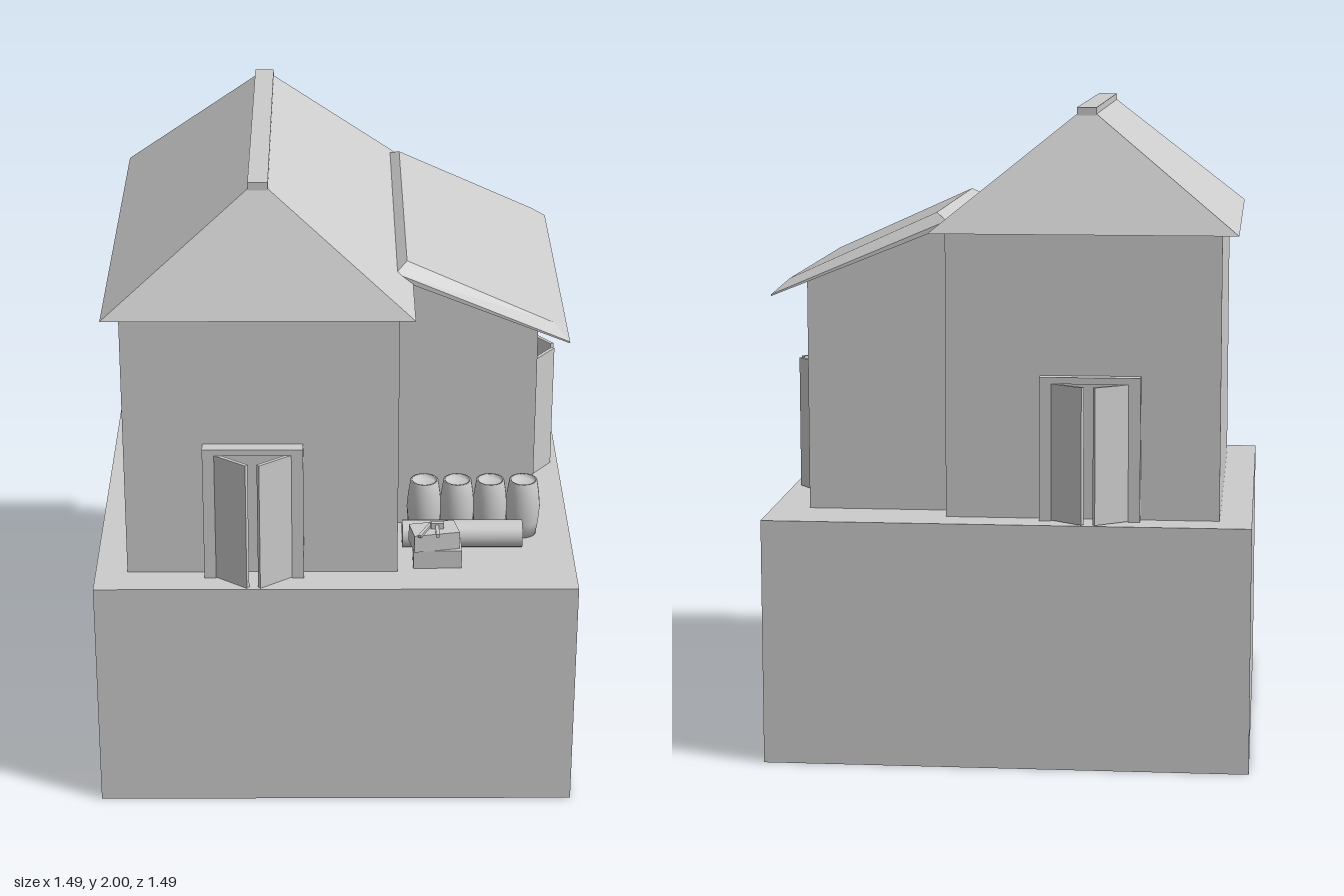
import * as THREE from 'three';

const material = new THREE.MeshStandardMaterial({ color: 0xcccccc, side: THREE.DoubleSide });

function add(parent, name, geometry, x = 0, y = 0, z = 0) {
  const mesh = new THREE.Mesh(geometry, material);
  mesh.name = name;
  mesh.position.set(x, y, z);
  parent.add(mesh);
  return mesh;
}

// Box given by its lower and upper limits on each axis
function block(parent, name, x0, x1, y0, y1, z0, z1) {
  return add(parent, name, new THREE.BoxGeometry(x1 - x0, y1 - y0, z1 - z0),
    (x0 + x1) / 2, (y0 + y1) / 2, (z0 + z1) / 2);
}

// Rectangle in plan whose height may differ between its low-x and high-x sides
function rect(x0, x1, z0, z1, yLeft, yRight = yLeft) {
  return [[x0, yLeft, z0], [x1, yRight, z0], [x1, yRight, z1], [x0, yLeft, z1]];
}

// Closed solid lofted through rectangles, from lowest to highest
function loft(...rings) {
  const index = [0, 1, 2, 0, 2, 3];
  const quad = (a, b, c, d) => index.push(a, b, c, a, c, d);
  for (let r = 0; r < rings.length - 1; r++) {
    const b = r * 4;
    for (let i = 0; i < 4; i++) {
      const j = (i + 1) % 4;
      quad(b + j, b + i, b + i + 4, b + j + 4);
    }
  }
  const t = (rings.length - 1) * 4;
  quad(t, t + 3, t + 2, t + 1);
  const indexed = new THREE.BufferGeometry();
  indexed.setAttribute('position', new THREE.Float32BufferAttribute(rings.flat(2), 3));
  indexed.setIndex(index);
  const geometry = indexed.toNonIndexed();
  geometry.computeVertexNormals();
  return geometry;
}

// Framed double door, local origin at the foot of the wall, facing +z
function createDoor(name, depth) {
  const door = new THREE.Group();
  door.name = name;
  block(door, 'doorLintel', -0.153, 0.153, 0.42, 0.44, 0, depth);
  for (const s of [-1, 1]) {
    add(door, 'doorPost', new THREE.BoxGeometry(0.036, 0.42, depth), s * 0.135, 0.21, depth / 2);
    // Leaf hinged at the post and ajar
    const hinge = new THREE.Group();
    hinge.name = 'doorLeaf';
    hinge.position.set(s * 0.115, 0, depth - 0.008);
    hinge.rotation.y = s * 0.64;
    add(hinge, 'leafPanel', new THREE.BoxGeometry(0.122, 0.418, 0.012), -s * 0.061, 0.211, 0);
    door.add(hinge);
  }
  return door;
}

export function createModel() {
  const model = new THREE.Group();
  model.name = 'house';
  const ground = 0.758;

  // Hollow plinth, open underneath
  const plinth = new THREE.BoxGeometry(1.487, ground, 1.49);
  const faces = Array.from(plinth.index.array);
  faces.splice(18, 6);
  plinth.setIndex(faces);
  plinth.clearGroups();
  add(model, 'plinth', plinth, 0, ground / 2, 0);

  // Main house with hipped roof and ridge cap
  block(model, 'mainWalls', -0.645, 0.19, ground, 1.635, -0.632, 0.632);
  add(model, 'mainRoof', loft(
    rect(-0.695, 0.235, -0.698, 0.698, 1.63),
    rect(-0.26, -0.2, -0.525, 0.525, 1.98)));
  block(model, 'ridgeCap', -0.26, -0.2, 1.975, 2, -0.527, 0.527);

  // Lean-to with sloping wall tops
  add(model, 'annexWalls', loft(
    rect(0.18, 0.628, -0.53, 0.307, ground),
    rect(0.18, 0.628, -0.53, 0.307, 1.652, 1.475)));
  add(model, 'annexRoof', loft(
    rect(0.182, 0.718, -0.652, 0.415, 1.648, 1.433),
    rect(0.182, 0.718, -0.652, 0.415, 1.665, 1.438),
    rect(0.217, 0.668, -0.603, 0.367, 1.687, 1.483)));

  // Doors at front, back and the outer wall of the lean-to
  const frontDoor = createDoor('frontDoor', 0.04);
  frontDoor.position.set(-0.252, ground, 0.632);
  const backDoor = createDoor('backDoor', 0.04);
  backDoor.position.set(-0.252, ground, -0.632);
  backDoor.rotation.y = Math.PI;
  const sideDoor = createDoor('sideDoor', 0.022);
  sideDoor.position.set(0.628, ground, -0.142);
  sideDoor.rotation.y = Math.PI / 2;
  model.add(frontDoor, backDoor, sideDoor);

  // Row of barrels with recessed lids
  const profile = [[0, 0], [0.044, 0], [0.051, 0.045], [0.055, 0.093], [0.051, 0.14],
    [0.044, 0.186], [0.037, 0.186], [0.037, 0.172], [0, 0.172]]
    .map(([r, y]) => new THREE.Vector2(r, y));
  const barrel = new THREE.LatheGeometry(profile, 24);
  for (let i = 0; i < 4; i++) add(model, 'barrel', barrel, 0.28 + i * 0.104, ground, 0.37);

  // Log lying in front of the barrels
  const log = add(model, 'log', new THREE.CylinderGeometry(0.043, 0.043, 0.377, 24),
    0.397, ground + 0.043, 0.462);
  log.rotation.z = Math.PI / 2;

  // Two stacked crates
  block(model, 'lowerCrate', 0.24, 0.39, ground, 0.818, 0.525, 0.612);
  const upperCrate = add(model, 'upperCrate', new THREE.BoxGeometry(0.143, 0.057, 0.083),
    0.305, 0.8465, 0.567);
  upperCrate.rotation.y = 0.19;

  // Hammer and chisel on top of the crates
  block(model, 'hammerHandle', 0.308, 0.319, 0.878, 0.889, 0.55, 0.635);
  block(model, 'hammerHead', 0.294, 0.334, 0.874, 0.895, 0.557, 0.574);
  const chisel = add(model, 'chisel', new THREE.BoxGeometry(0.01, 0.008, 0.09), 0.276, 0.879, 0.589);
  chisel.rotation.y = -0.42;

  return model;
}
